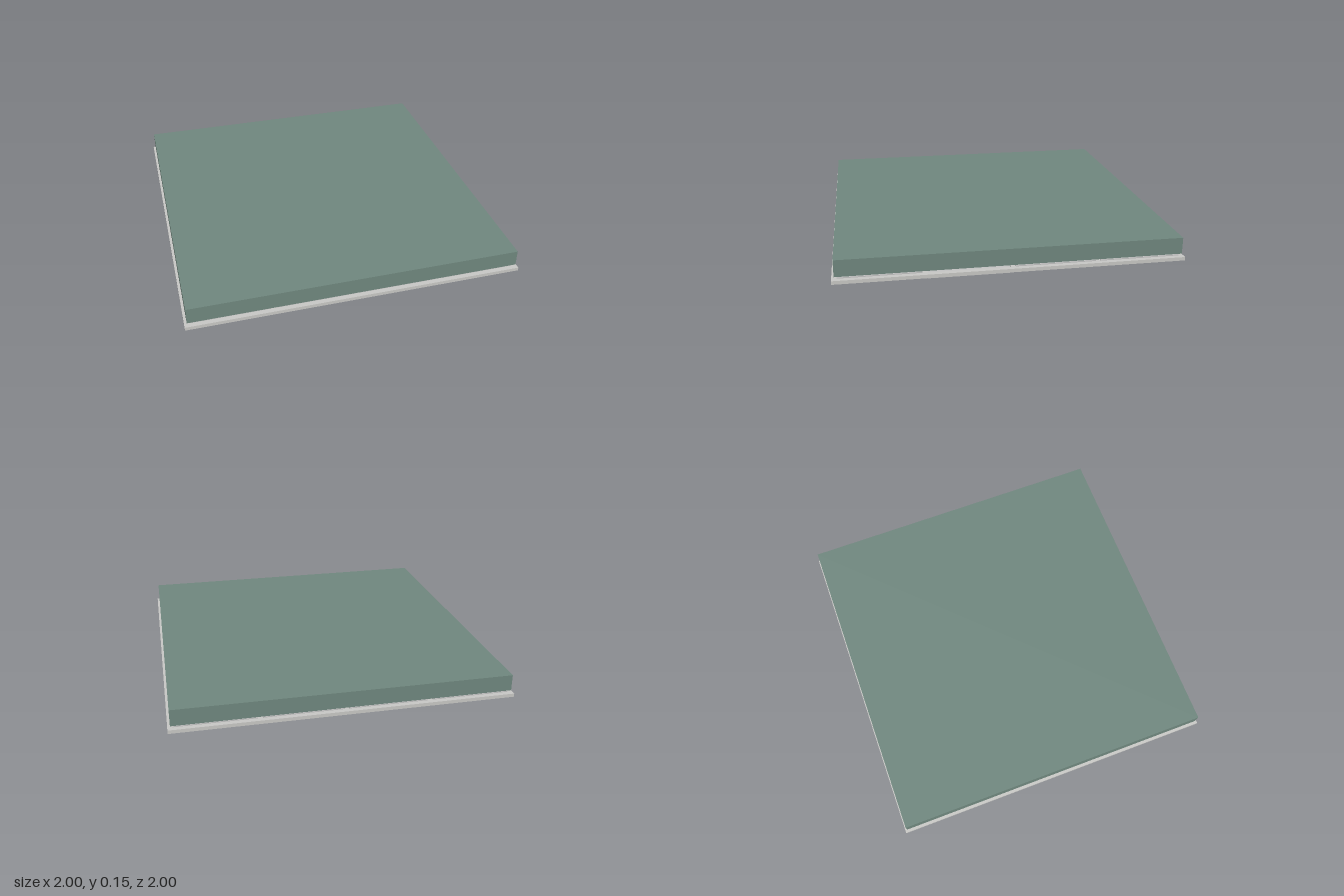
import * as THREE from 'three';

export function createModel() {
  const model = new THREE.Group();
  model.name = 'ceilingPanelSection';

  const slabGreen = new THREE.MeshStandardMaterial({ color: 0x70887f });
  slabGreen.name = 'slab green';
  const panelGrey = new THREE.MeshStandardMaterial({ color: 0xc4c4c4 });
  panelGrey.name = 'panel grey';
  const gridGrey = new THREE.MeshStandardMaterial({ color: 0xc9c9c6 });
  gridGrey.name = 'grid grey';

  // Box given by its size, its bottom height and its centre in plan
  function box(name, material, w, h, d, x, bottom, z) {
    const mesh = new THREE.Mesh(new THREE.BoxGeometry(w, h, d), material);
    mesh.name = name;
    mesh.position.set(x, bottom + h / 2, z);
    model.add(mesh);
  }

  const pitch = 0.4925;
  const barWidth = 0.03;

  // Slab floating above the grid
  box('slab', slabGreen, 1.97, 0.098, 1.97, 0, 0.052, 0);

  // Grid: full-length bars along z, short cross bars between them
  for (let i = -2; i <= 2; i++) {
    box('mainBar', gridGrey, barWidth, 0.021, 2, i * pitch, 0.015, 0);
    for (let j = 0; j < 4; j++) {
      box('crossBar', gridGrey, pitch - barWidth, 0.021, barWidth, (j - 1.5) * pitch, 0.015, i * pitch);
    }
  }

  // Panels: one cell is open and a few panels hang lower
  const open = '2,1';
  const lowered = ['3,2', '2,2', '1,1'];
  for (let col = 0; col < 4; col++) {
    for (let row = 0; row < 4; row++) {
      const cell = `${col},${row}`;
      if (cell === open) continue;
      const bottom = lowered.includes(cell) ? 0 : 0.012;
      box('panel', panelGrey, 0.464, 0.03, 0.464, (col - 1.5) * pitch, bottom, (row - 1.5) * pitch);
    }
  }

  return model;
}
